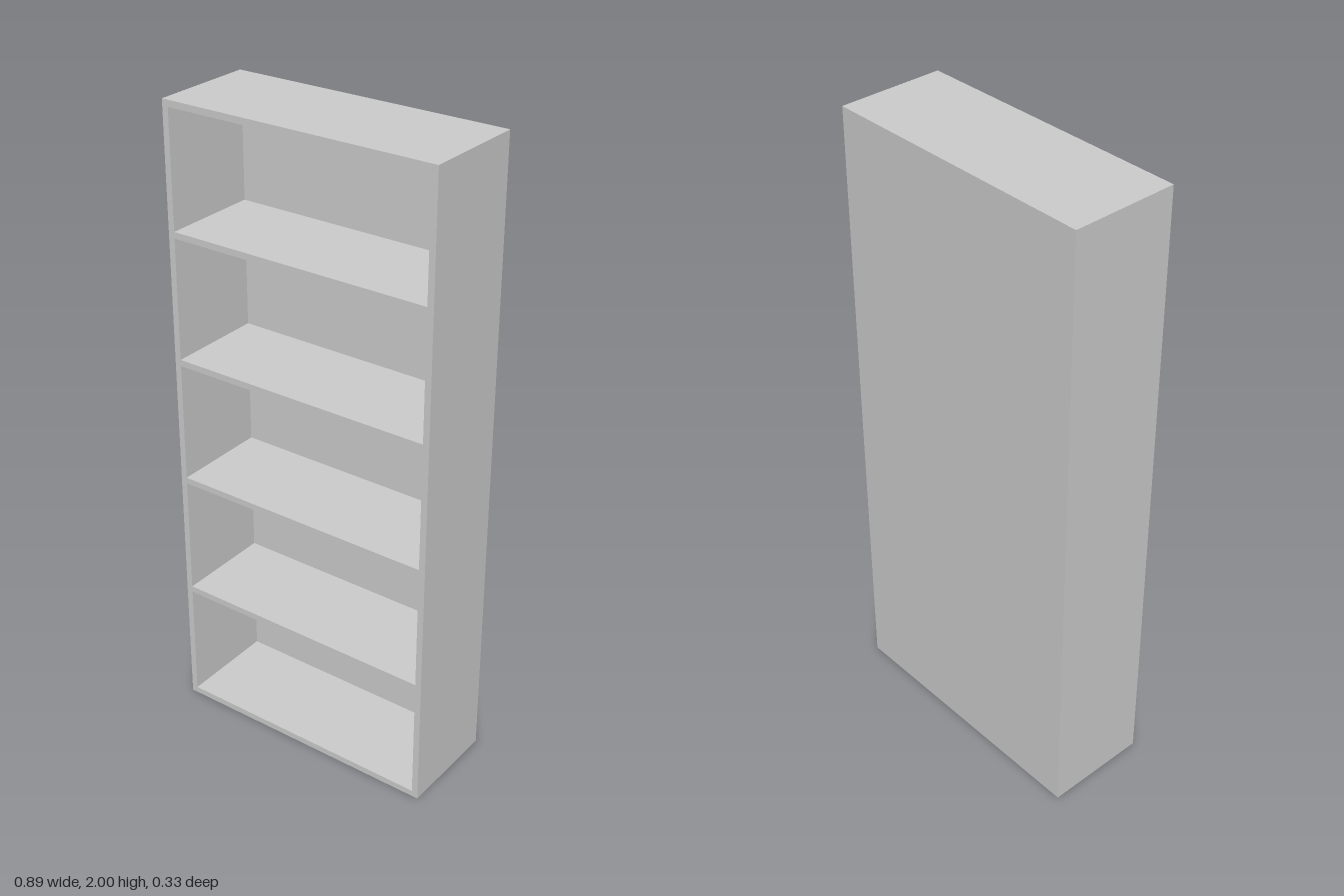
import * as THREE from 'three';

export function createModel() {
  const W = 0.889, H = 2, D = 0.333, T = 0.02;
  const innerW = W - 2 * T;
  const paint = new THREE.MeshStandardMaterial({ color: 0xcccccc });
  paint.name = 'light grey paint';

  const bookcase = new THREE.Group();
  bookcase.name = 'bookcase';

  const addBoard = (name, w, h, d, x, y, z) => {
    const board = new THREE.Mesh(new THREE.BoxGeometry(w, h, d), paint);
    board.name = name;
    board.position.set(x, y, z);
    bookcase.add(board);
  };

  // Full-height side panels
  addBoard('leftSide', T, H, D, (W - T) / 2, H / 2, 0);
  addBoard('rightSide', T, H, D, -(W - T) / 2, H / 2, 0);

  // Bottom and top boards between the sides
  addBoard('bottomBoard', innerW, T, D, 0, T / 2, 0);
  addBoard('topBoard', innerW, T, D, 0, H - T / 2, 0);

  // Back panel, set between the other boards
  addBoard('backPanel', innerW, H - 2 * T, T, 0, H / 2, -(D - T) / 2);

  // Four evenly spaced shelves, in front of the back panel
  for (let i = 1; i <= 4; i++) {
    addBoard(`shelf${i}`, innerW, T, D - T, 0, i * 0.4 + T / 2, T / 2);
  }
  return bookcase;
}
